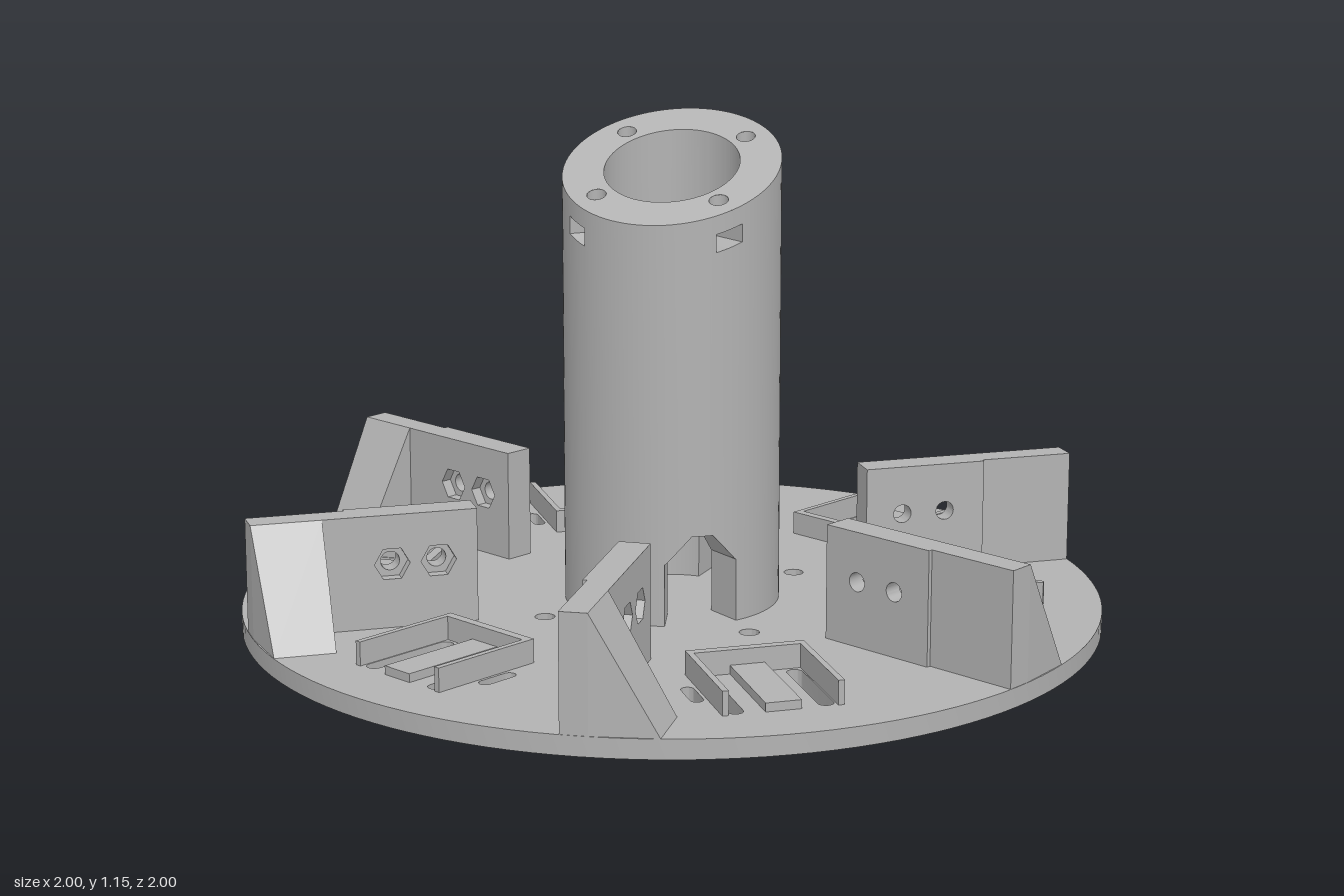
import * as THREE from 'three';
import { toCreasedNormals } from 'three/addons/utils/BufferGeometryUtils.js';

const grey = new THREE.MeshStandardMaterial({ color: 0xb2b2b2, side: THREE.DoubleSide });
grey.name = 'grey plastic';

const BASE = 0.045, FIN_TOP = 0.31;
const RO = 0.25, RI = 0.155;
const DEG = Math.PI / 180;
const topY = (z) => 1.0625 - 0.37 * z; // slanted cut of the tube

function mesh(name, geometry, parent) {
  const m = new THREE.Mesh(geometry, grey);
  m.name = name;
  parent.add(m);
  return m;
}

function box(name, x0, x1, y0, y1, z0, z1, parent) {
  const g = new THREE.BoxGeometry(x1 - x0, y1 - y0, z1 - z0);
  g.translate((x0 + x1) / 2, (y0 + y1) / 2, (z0 + z1) / 2);
  return mesh(name, g, parent);
}

function circle(x, y, r) {
  return new THREE.Path().absarc(x, y, r, 0, Math.PI * 2, true);
}

// Rounded slot lying along a radius, turned by an angle
function slot(x0, x1, y, r, a) {
  const pts = [];
  for (let i = 0; i <= 16; i++) {
    const t = Math.PI / 2 + (i / 16) * Math.PI;
    pts.push([x0 + r + r * Math.cos(t), y + r * Math.sin(t)]);
  }
  for (let i = 0; i <= 16; i++) {
    const t = -Math.PI / 2 + (i / 16) * Math.PI;
    pts.push([x1 - r + r * Math.cos(t), y + r * Math.sin(t)]);
  }
  const c = Math.cos(a), s = Math.sin(a);
  return new THREE.Path(pts.map(([px, py]) => new THREE.Vector2(px * c - py * s, px * s + py * c)));
}

// Round base plate with bolt holes and six sets of slots
function baseGeometry() {
  const shape = new THREE.Shape().absarc(0, 0, 1, 0, Math.PI * 2, false);
  for (const sx of [-1, 1]) for (const sy of [-1, 1]) shape.holes.push(circle(sx * 0.24, sy * 0.24, 0.023));
  for (let k = 0; k < 6; k++) {
    for (const s of [-1, 1]) {
      shape.holes.push(slot(0.605, 0.85, s * 0.1, 0.018, k * 60 * DEG));
      shape.holes.push(slot(0.655, 0.775 - 0.02, s * 0.157, 0.015, k * 60 * DEG));
    }
  }
  const g = new THREE.ExtrudeGeometry(shape, { depth: BASE, bevelEnabled: false, curveSegments: 64 });
  g.rotateX(-Math.PI / 2);
  return toCreasedNormals(g, 0.5);
}

// Tube wall swept around as cross-sections, with arches and pockets
function tubeGeometry() {
  const arches = [60, 180, 300].map((a) => ({ c: a * DEG, half: 0.345 }));
  const pockets = [];
  for (const a of [45, 135, 225, 315]) {
    pockets.push({ c: a * DEG, half: 0.135, depth: 0.09,
      lo: (t) => topY(RO * Math.sin(t)) - 0.083, hi: (t) => topY(RO * Math.sin(t)) - 0.042 });
  }
  for (const a of [233, 307]) {
    pockets.push({ c: a * DEG, half: 0.08, depth: 0.06,
      lo: () => 0.932, hi: (t) => 0.99 - 0.05 * Math.min(1, Math.max(0, Math.abs(t - a * DEG) - 0.02) / 0.06) });
  }
  const archY = (t, a) => 0.255 - 0.065 * Math.min(1, Math.max(0, RO * Math.abs(t - a.c) - 0.025) / 0.06);
  const angles = [];
  for (let i = 0; i <= 96; i++) angles.push((i / 96) * Math.PI * 2);
  for (const w of [...arches, ...pockets]) angles.push(w.c - w.half, w.c + w.half);
  for (const w of arches) angles.push(w.c - 0.1, w.c + 0.1);
  for (const w of pockets) angles.push(w.c - 0.02, w.c, w.c + 0.02);
  angles.sort((a, b) => a - b);

  const pos = [];
  const put = (t, p) => pos.push(p[0] * Math.cos(t), p[1], p[0] * Math.sin(t));
  const quad = (ta, a, tb, b, tc, c, td, d) => {
    put(ta, a); put(tb, b); put(tc, c);
    put(ta, a); put(tc, c); put(td, d);
  };
  const inside = (w, t) => Math.abs(t - w.c) < w.half;
  for (let i = 0; i + 1 < angles.length; i++) {
    const a = angles[i], b = angles[i + 1], mid = (a + b) / 2;
    if (b - a < 1e-6) continue;
    const arch = arches.find((w) => inside(w, mid));
    const open = pockets.filter((w) => inside(w, mid)).sort((p, q) => p.lo(mid) - q.lo(mid));
    const section = (t) => {
      const yb = arch ? archY(t, arch) : BASE;
      const pts = [[RI, topY(RI * Math.sin(t))], [RI, yb], [RO, yb]];
      for (const w of open) {
        pts.push([RO, w.lo(t)], [RO - w.depth, w.lo(t)], [RO - w.depth, w.hi(t)], [RO, w.hi(t)]);
      }
      pts.push([RO, topY(RO * Math.sin(t))]);
      return pts;
    };
    const A = section(a), B = section(b);
    for (let j = 0; j + 1 < A.length; j++) quad(a, A[j], a, A[j + 1], b, B[j + 1], b, B[j]);
  }
  // Side walls of the arches and pockets
  const cheek = (t, r0, r1, y0, y1) => quad(t, [r0, y0], t, [r1, y0], t, [r1, y1], t, [r0, y1]);
  for (const s of [-1, 1]) {
    for (const w of arches) cheek(w.c + s * w.half, RI, RO, BASE, archY(w.c + s * w.half, w));
    for (const w of pockets) {
      const t = w.c + s * w.half;
      cheek(t, RO - w.depth, RO, w.lo(t), w.hi(t));
    }
  }
  const g = new THREE.BufferGeometry();
  g.setAttribute('position', new THREE.Float32BufferAttribute(pos, 3));
  return toCreasedNormals(g, 0.5);
}

// Slanted end ring with four bolt holes
function addTubeTop(parent) {
  const ring = new THREE.Shape().absarc(0, 0, RO, 0, Math.PI * 2, false);
  ring.holes.push(circle(0, 0, RI));
  const bolts = [-1, 1].flatMap((sx) => [-1, 1].map((sz) => [sx * 0.141, sz * 0.135]));
  for (const [x, z] of bolts) ring.holes.push(circle(x, -z, 0.022));
  const g = new THREE.ShapeGeometry(ring, 48);
  g.rotateX(-Math.PI / 2);
  const p = g.attributes.position;
  for (let i = 0; i < p.count; i++) p.setY(i, topY(p.getZ(i)));
  g.computeVertexNormals();
  mesh('tubeEndRing', g, parent);
  for (const [x, z] of bolts) {
    const c = new THREE.CylinderGeometry(0.022, 0.022, 0.042, 20, 1, true);
    c.translate(x, 0, z);
    const q = c.attributes.position;
    for (let i = 0; i < q.count; i++) q.setY(i, q.getY(i) - 0.021 + topY(q.getZ(i)));
    mesh('tubeBoltHole', c, parent);
  }
}

// Fin plate layer with two holes, standing along +z
function finLayer(x0, x1, radius, sides) {
  const s = new THREE.Shape();
  s.moveTo(-0.775, BASE).lineTo(-0.48, BASE).lineTo(-0.48, FIN_TOP).lineTo(-0.775, FIN_TOP).closePath();
  for (const z of [0.57, 0.677]) {
    const pts = [];
    for (let i = 0; i < sides; i++) {
      const t = (-i / sides) * Math.PI * 2;
      pts.push(new THREE.Vector2(-z + radius * Math.cos(t), 0.195 + radius * Math.sin(t)));
    }
    s.holes.push(new THREE.Path(pts));
  }
  const g = new THREE.ExtrudeGeometry(s, { depth: x1 - x0, bevelEnabled: false });
  g.rotateY(Math.PI / 2).translate(x0, 0, 0);
  return toCreasedNormals(g, 0.5);
}

// Trim the outer end to the rim of the base
function trimToRim(g) {
  const p = g.attributes.position;
  for (let i = 0; i < p.count; i++) if (p.getZ(i) > 0.95) p.setZ(i, Math.sqrt(0.998 - p.getX(i) ** 2));
  g.computeVertexNormals();
}

function makeFin() {
  const fin = new THREE.Group();
  fin.name = 'fin';
  mesh('finPlate', finLayer(0, 0.045, 0.022, 24), fin);
  mesh('finNutPockets', finLayer(0.045, 0.072, 0.041, 6), fin);
  trimToRim(box('finOuterPlate', 0.01, 0.072, BASE, FIN_TOP, 0.775, 1, fin).geometry);
  const tri = new THREE.Shape();
  tri.moveTo(0.072, BASE).lineTo(0.22, BASE).lineTo(0.072, FIN_TOP).closePath();
  const g = new THREE.ExtrudeGeometry(tri, { depth: 0.165, bevelEnabled: false });
  g.translate(0, 0, 0.835);
  trimToRim(g);
  mesh('finGusset', g, fin);
  return fin;
}

function makeBracket() {
  const b = new THREE.Group();
  b.name = 'bracket';
  box('bracketInnerWall', 0.575, 0.597, BASE, 0.1, -0.135, 0.135, b);
  for (const s of [-1, 1]) box('bracketSideWall', 0.597, 0.855, BASE, 0.1, s * 0.128 - 0.007, s * 0.128 + 0.007, b);
  box('bracketCentreBlock', 0.597, 0.855, BASE, 0.065, -0.04, 0.04, b);
  return b;
}

export function createModel() {
  const model = new THREE.Group();
  model.name = 'slottedBaseWithTube';
  mesh('basePlate', baseGeometry(), model);
  mesh('tube', tubeGeometry(), model);
  addTubeTop(model);
  for (let k = 0; k < 6; k++) {
    for (const part of [makeFin(), makeBracket()]) {
      part.rotation.y = k * 60 * DEG;
      model.add(part);
    }
  }
  return model;
}
